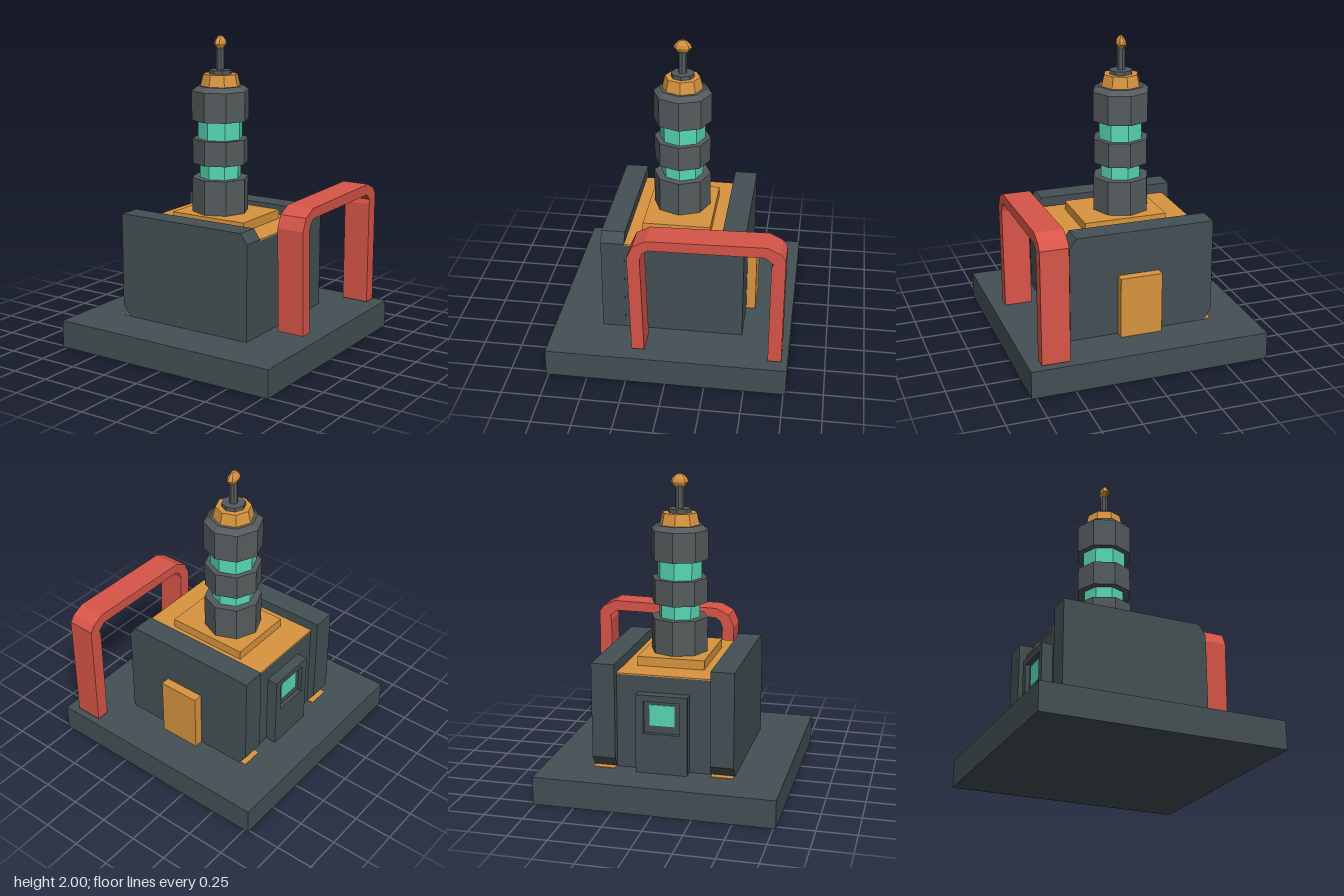
import * as THREE from 'three';

const paint = (color) =>
  new THREE.MeshStandardMaterial({ color, flatShading: true });

export function createModel() {
  const model = new THREE.Group();
  const slate = paint(0x445054), iron = paint(0x555b5d), orange = paint(0xd9953f);
  const red = paint(0xd85548), teal = paint(0x58d8b5);

  function add(name, geometry, material, parent = model) {
    const mesh = new THREE.Mesh(geometry, material);
    mesh.name = name;
    parent.add(mesh);
    return mesh;
  }

  // Box given by its extents on each axis
  function box(name, [x0, x1], [y0, y1], [z0, z1], material, parent) {
    const mesh = add(name, new THREE.BoxGeometry(x1 - x0, y1 - y0, z1 - z0), material, parent);
    mesh.position.set((x0 + x1) / 2, (y0 + y1) / 2, (z0 + z1) / 2);
    return mesh;
  }

  const outline = (points) => new THREE.Shape(points.map(([x, y]) => new THREE.Vector2(x, y)));
  const extrude = (shape, depth) =>
    new THREE.ExtrudeGeometry(shape, { depth, bevelEnabled: false });

  // Base and housing
  box('base', [-0.78, 0.78], [0, 0.18], [-0.765, 0.765], slate);
  box('housingCore', [-0.47, 0.433], [0.18, 0.792], [-0.31, 0.31], slate);
  box('housingTop', [-0.472, 0.434], [0.792, 0.8], [-0.31, 0.306], orange);
  box('towerPlate', [-0.29, 0.255], [0.8, 0.86], [-0.22, 0.215], orange);

  // Side walls with clipped corners, each over a thin floor strip
  const wall = outline([
    [-0.47, 0.18], [0.435, 0.18], [0.435, 0.8], [0.39, 0.865], [-0.52, 0.865], [-0.52, 0.25],
  ]);
  for (const [side, z] of [['back', -0.455], ['front', 0.305]]) {
    add(side + 'Wall', extrude(wall, 0.15), slate).position.z = z;
    box(side + 'FloorStrip', [-0.515, -0.46], [0.18, 0.184], [z + 0.005, z + 0.145], orange);
  }

  // Door on the back
  box('backDoor', [-0.155, 0.12], [0.18, 0.58], [-0.515, -0.45], orange);

  // Control panel: a frame around a recessed screen
  const panel = new THREE.Group();
  panel.name = 'controlPanel';
  model.add(panel);
  const frame = outline([[-0.165, 0.18], [0.165, 0.18], [0.165, 0.69], [-0.165, 0.69]]);
  frame.holes.push(outline([[-0.115, 0.44], [-0.115, 0.65], [0.115, 0.65], [0.115, 0.44]]));
  const frameGeometry = extrude(frame, 0.03).rotateY(Math.PI / 2);
  add('panelFrame', frameGeometry, slate, panel).position.x = -0.542;
  box('panelBack', [-0.515, -0.46], [0.18, 0.688], [-0.163, 0.163], slate, panel);
  box('panelScreen', [-0.522, -0.5], [0.49, 0.625], [-0.08, 0.08], teal, panel);

  // Bent guard rail, drawn from the side and extruded across
  const rail = outline([
    [-0.22, 0.2], [-0.14, 0.2], [-0.16, 0.86], [-0.145, 0.905], [-0.11, 0.93],
    [0.6, 0.94], [0.65, 0.9], [0.64, 0.87], [0.64, 0.19], [0.725, 0.19],
    [0.725, 0.93], [0.695, 0.97], [0.615, 1.01], [-0.12, 0.995], [-0.205, 0.95], [-0.24, 0.87],
  ]);
  add('guardRail', extrude(rail, 0.18).rotateY(Math.PI / 2), red).position.x = 0.52;

  // Octagonal tower
  const tower = new THREE.Group();
  tower.name = 'tower';
  tower.position.x = -0.06;
  model.add(tower);
  const rings = [
    // name, bottom radius, top radius, bottom y, top y
    ['towerFoot', 0.185, 0.185, 0.86, 1.085, iron],
    ['lowerGlow', 0.135, 0.135, 1.085, 1.18, teal],
    ['middleCollar', 0.182, 0.182, 1.18, 1.34, iron],
    ['upperGlow', 0.146, 0.146, 1.34, 1.46, teal],
    ['towerHead', 0.187, 0.187, 1.46, 1.65, iron],
    ['headBevel', 0.187, 0.15, 1.65, 1.68, iron],
    ['orangeCap', 0.13, 0.112, 1.68, 1.755, orange],
    ['mastDisc', 0.075, 0.075, 1.755, 1.78, iron],
    ['mast', 0.027, 0.027, 1.78, 1.92, iron],
  ];
  for (const [name, r0, r1, y0, y1, material] of rings) {
    add(name, new THREE.CylinderGeometry(r1, r0, y1 - y0, 8), material, tower)
      .position.y = (y0 + y1) / 2;
  }

  // Flattened faceted bulb on the mast
  const bulbProfile = [[0, 1.9], [0.022, 1.905], [0.058, 1.945], [0.052, 1.965], [0.022, 1.995], [0, 2]];
  const bulb = new THREE.LatheGeometry(bulbProfile.map(([r, y]) => new THREE.Vector2(r, y)), 8);
  add('mastBulb', bulb, orange, tower).scale.x = 0.53;

  return model;
}
